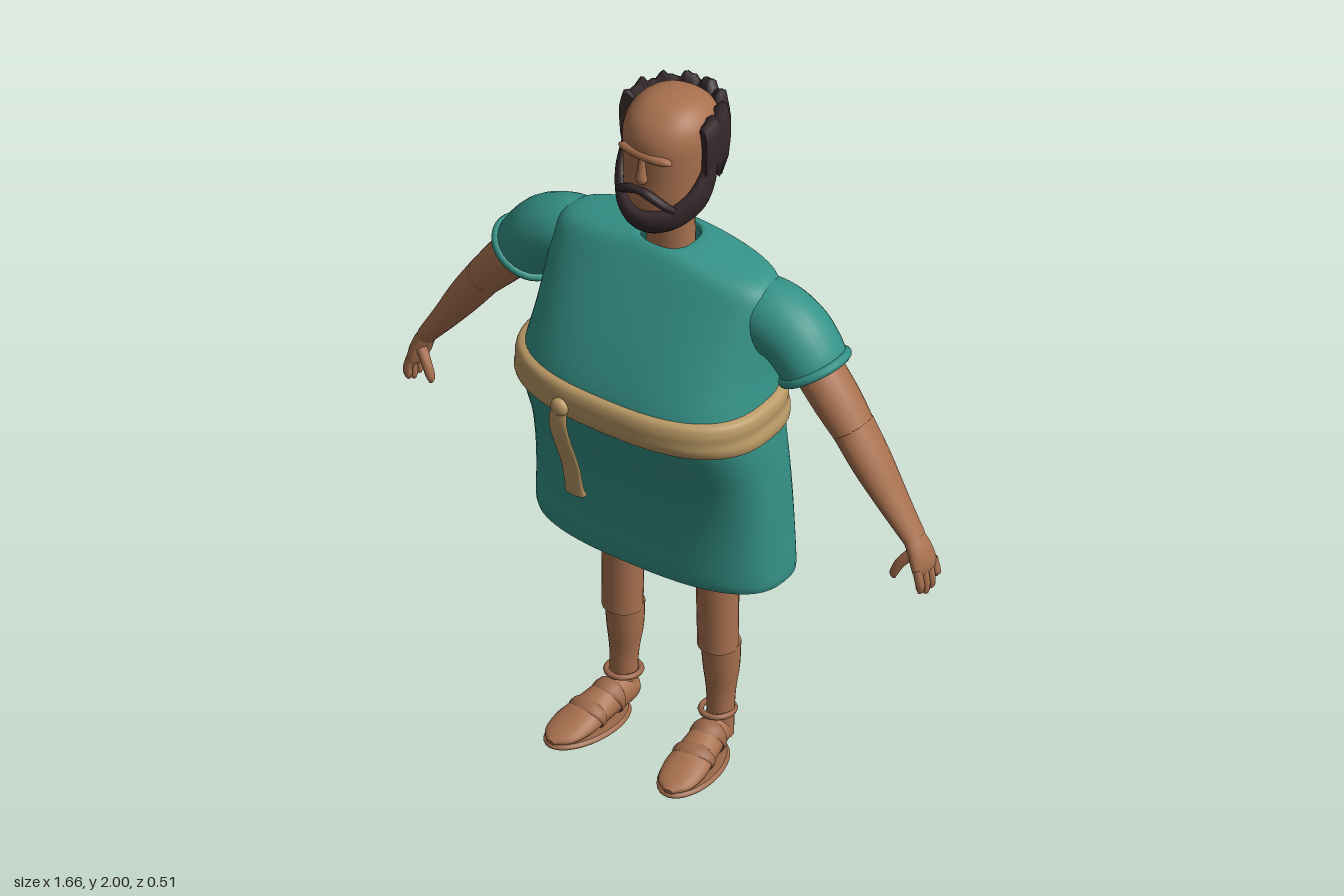
import * as THREE from 'three';

const V = (x, y, z) => new THREE.Vector3(x, y, z);
const material = (name, color, side = THREE.FrontSide) => {
  const m = new THREE.MeshStandardMaterial({ color, side });
  m.name = name;
  return m;
};

// Surface through a list of equal-length closed rings, with optional end caps
function skin(rings, capStart = true, capEnd = true) {
  const n = rings[0].length, pos = [], idx = [];
  rings.forEach(r => r.forEach(p => pos.push(p.x, p.y, p.z)));
  for (let i = 0; i < rings.length - 1; i++) {
    for (let j = 0; j < n; j++) {
      const a = i * n + j, b = i * n + (j + 1) % n;
      idx.push(a, a + n, b, b, a + n, b + n);
    }
  }
  const cap = (ring, flip) => {
    const c = pos.length / 3, mid = V(0, 0, 0);
    ring.forEach(p => mid.addScaledVector(p, 1 / n));
    [mid, ...ring].forEach(p => pos.push(p.x, p.y, p.z));
    for (let j = 0; j < n; j++) {
      const a = c + 1 + j, b = c + 1 + (j + 1) % n;
      if (flip) idx.push(c, b, a); else idx.push(c, a, b);
    }
  };
  if (capStart) cap(rings[0], false);
  if (capEnd) cap(rings[rings.length - 1], true);
  const g = new THREE.BufferGeometry();
  g.setAttribute('position', new THREE.Float32BufferAttribute(pos, 3));
  g.setIndex(idx);
  g.computeVertexNormals();
  return g;
}

const smooth = pts => new THREE.CatmullRomCurve3(pts, false, 'catmullrom', 0.5);

// Tube along points [x, y, z, r1, r2]; r2 lies along the hint direction
function limb(pts, { hint = V(0, 0, 1), n = 20, start = true, end = true } = {}) {
  const path = smooth(pts.map(p => V(p[0], p[1], p[2])));
  const radii = smooth(pts.map(p => V(p[3], p[4] ?? p[3], 0)));
  const steps = (pts.length - 1) * 5, rings = [];
  for (let i = 0; i <= steps; i++) {
    const c = path.getPoint(i / steps), r = radii.getPoint(i / steps), t = path.getTangent(i / steps);
    const w = hint.clone().addScaledVector(t, -hint.dot(t)).normalize(), u = t.clone().cross(w);
    rings.push(Array.from({ length: n }, (_, j) => {
      const a = j / n * Math.PI * 2;
      return c.clone().addScaledVector(u, Math.cos(a) * r.x).addScaledVector(w, Math.sin(a) * r.y);
    }));
  }
  return skin(rings, start, end);
}

// Upright form from rows [y, half width, front z, back z], superellipse plan
function upright(rows, power, start, end, n = 56) {
  const a = smooth(rows.map(r => V(r[0], r[1], 0))), b = smooth(rows.map(r => V(r[2], r[3], 0)));
  const steps = (rows.length - 1) * 4, rings = [];
  const pw = v => Math.sign(v) * Math.abs(v) ** (2 / power);
  for (let i = 0; i <= steps; i++) {
    const p = a.getPoint(i / steps), q = b.getPoint(i / steps);
    rings.push(Array.from({ length: n }, (_, j) => {
      const t = j / n * Math.PI * 2;
      return V(pw(Math.cos(t)) * p.y, p.x, (q.x + q.y) / 2 + pw(Math.sin(t)) * (q.x - q.y) / 2);
    }));
  }
  return skin(rings, start, end);
}

export function createModel() {
  const model = new THREE.Group();
  const skinTone = material('skin', 0xa9714f), cloth = material('teal cloth', 0x359388, THREE.DoubleSide);
  const sash = material('tan sash', 0xbb9a66), hair = material('dark hair', 0x35282b);
  const leather = material('sandal leather', 0x9c6849);
  const add = (name, geo, mat, parent = model) => {
    const m = new THREE.Mesh(geo, mat);
    m.name = name;
    parent.add(m);
    return m;
  };
  const ball = (name, mat, p, s, parent) => {
    const m = add(name, new THREE.SphereGeometry(1, 20, 14), mat, parent);
    m.position.set(...p);
    m.scale.set(...s);
    return m;
  };

  // Tunic body, open at hem and neck
  add('tunic', upright([
    [0.62, 0.374, 0.105, -0.236], [0.65, 0.377, 0.112, -0.236], [0.75, 0.374, 0.115, -0.233],
    [0.85, 0.371, 0.125, -0.23], [0.95, 0.368, 0.15, -0.228], [1.05, 0.365, 0.195, -0.228],
    [1.12, 0.36, 0.225, -0.23], [1.2, 0.35, 0.222, -0.226], [1.3, 0.337, 0.175, -0.212],
    [1.4, 0.335, 0.115, -0.203], [1.47, 0.335, 0.07, -0.2], [1.515, 0.325, 0.04, -0.197],
    [1.54, 0.28, 0.022, -0.19], [1.557, 0.18, 0.008, -0.18], [1.568, 0.085, -0.008, -0.16],
    [1.555, 0.072, -0.015, -0.152]], 2.6, false, false), cloth);

  // Belt with soft rolled edges
  add('belt', upright([
    [1.1, 0.355, 0.205, -0.222], [1.107, 0.374, 0.228, -0.238], [1.13, 0.378, 0.241, -0.242],
    [1.155, 0.372, 0.243, -0.24], [1.18, 0.373, 0.242, -0.241], [1.203, 0.366, 0.232, -0.237],
    [1.212, 0.34, 0.205, -0.22]], 2.6, false, false), sash);
  ball('beltKnot', sash, [-0.12, 1.145, 0.242], [0.026, 0.026, 0.018]);
  add('beltTail', limb([
    [-0.12, 1.15, 0.24, 0.022, 0.01], [-0.127, 1.09, 0.24, 0.028, 0.01], [-0.13, 1.02, 0.218, 0.029, 0.01],
    [-0.135, 0.92, 0.175, 0.029, 0.01], [-0.139, 0.84, 0.152, 0.029, 0.011],
    [-0.14, 0.81, 0.143, 0.033, 0.013]]), sash);

  // Neck and head
  add('neck', limb([[0, 1.5, -0.085, 0.07, 0.057], [0, 1.6, -0.085, 0.066, 0.056], [0, 1.75, -0.085, 0.066, 0.058]]), skinTone);
  add('head', upright([
    [1.65, 0.035, 0.035, -0.05], [1.69, 0.085, 0.045, -0.13], [1.74, 0.108, 0.046, -0.17],
    [1.8, 0.117, 0.044, -0.2], [1.86, 0.121, 0.045, -0.215], [1.91, 0.12, 0.042, -0.217],
    [1.95, 0.108, 0.023, -0.205], [1.98, 0.08, -0.01, -0.172], [1.995, 0.045, -0.045, -0.13],
    [2, 0.004, -0.083, -0.091]], 2.15, true, true, 40), skinTone);
  ball('brow', skinTone, [0, 1.875, 0.03], [0.085, 0.017, 0.022]);
  add('nose', limb([[0, 1.87, 0.04, 0.01], [0, 1.83, 0.045, 0.013], [0, 1.805, 0.046, 0.017, 0.015], [0, 1.793, 0.04, 0.008]]), skinTone);

  // Horseshoe of hair around the bald crown, uneven along its edges
  const rings = [];
  for (let i = 0; i <= 48; i++) {
    const th = (i / 24 - 1) * 1.83, k = Math.min(1, Math.abs(th) / 1.5);
    const top = 1.957 + 0.01 * Math.sin(th * 13) + 0.006 * Math.cos(th * 29);
    const low = 1.7 + 0.09 * k ** 1.5 + 0.008 * Math.sin(th * 17);
    const at = (f, y) => V(Math.sin(th) * 0.145 * f, y, -0.09 - Math.cos(th) * 0.162 * f);
    const mix = t => low + (top - low) * t;
    rings.push([at(0.72, top - 0.01), at(0.84, top + 0.008), at(0.95, top), at(1, mix(0.8)), at(1, mix(0.55)),
      at(0.93 + 0.05 * k, mix(0.28)), at(0.68 + 0.25 * k, low), at(0.5 + 0.3 * k, low + 0.01), at(0.72, mix(0.5))]);
  }
  add('hair', skin(rings), hair);

  // Beard along the jaw, moustache above the mouth
  const jaw = [[0.126, 1.85, -0.085, 0.014, 0.018], [0.124, 1.79, -0.068, 0.02, 0.032], [0.112, 1.735, -0.035, 0.023, 0.04],
    [0.078, 1.695, 0.007, 0.025, 0.04], [0.038, 1.678, 0.034, 0.026, 0.042]];
  const mirrored = (half, middle) => [...half, middle, ...half.slice().reverse().map(([x, ...r]) => [-x, ...r])];
  add('beard', limb(mirrored(jaw, [0, 1.672, 0.042, 0.026, 0.043]), { hint: V(0, 1, 0.7) }), hair);
  add('moustache', limb(mirrored([[0.09, 1.728, 0.026, 0.008], [0.065, 1.75, 0.046, 0.012], [0.03, 1.772, 0.058, 0.013]],
    [0, 1.778, 0.06, 0.011]), { hint: V(0, 0, 1), n: 12 }), hair);

  for (const s of [1, -1]) {
    const side = s > 0 ? 'left' : 'right';
    const flip = pts => pts.map(([x, ...r]) => [s * x, ...r]);
    const part = (name, pts, mat, opt) => add(side + name, limb(flip(pts), opt), mat);

    // Sleeve and rolled cuff
    part('Sleeve', [[0.22, 1.44, -0.09, 0.08, 0.08], [0.31, 1.43, -0.09, 0.098, 0.1], [0.385, 1.405, -0.088, 0.098, 0.1],
      [0.43, 1.365, -0.086, 0.094, 0.098], [0.456, 1.326, -0.085, 0.09, 0.095]], cloth, { end: false, n: 28 });
    const cuff = add(side + 'Cuff', new THREE.TorusGeometry(0.091, 0.013, 10, 32), cloth);
    cuff.position.set(s * 0.457, 1.324, -0.085);
    cuff.quaternion.setFromUnitVectors(V(0, 0, 1), V(s * 0.53, -0.85, 0).normalize());

    // Arm
    part('UpperArm', [[0.38, 1.41, -0.085, 0.06], [0.46, 1.33, -0.085, 0.062, 0.068], [0.53, 1.25, -0.083, 0.06, 0.068],
      [0.6, 1.165, -0.08, 0.05, 0.06]], skinTone);
    part('Forearm', [[0.582, 1.19, -0.08, 0.052, 0.064], [0.645, 1.1, -0.08, 0.047, 0.06], [0.71, 1.005, -0.082, 0.036, 0.048],
      [0.775, 0.915, -0.084, 0.025, 0.036]], skinTone);

    // Hand
    part('Palm', [[0.768, 0.925, -0.084, 0.023, 0.033], [0.79, 0.885, -0.085, 0.024, 0.042], [0.803, 0.845, -0.086, 0.022, 0.047],
      [0.808, 0.82, -0.087, 0.012, 0.042]], skinTone);
    for (let f = 0; f < 4; f++) {
      const z = -0.051 - f * 0.024, tip = [0.775, 0.762, 0.766, 0.79][f];
      part('Finger', [[0.806, 0.845, z, 0.012], [0.815, 0.81, z, 0.0125], [0.815, tip + 0.012, z - 0.002, 0.011],
        [0.812, tip, z - 0.002, 0.005]], skinTone, { n: 10 });
    }
    part('Thumb', [[0.785, 0.885, -0.065, 0.016], [0.755, 0.85, -0.05, 0.014], [0.738, 0.815, -0.045, 0.012],
      [0.737, 0.798, -0.045, 0.005]], skinTone, { n: 10 });

    // Leg
    part('Thigh', [[0.15, 0.85, -0.08, 0.058, 0.055], [0.15, 0.6, -0.08, 0.058, 0.055], [0.152, 0.32, -0.08, 0.055, 0.052]], skinTone);
    part('Shin', [[0.153, 0.328, -0.092, 0.054, 0.05], [0.153, 0.25, -0.093, 0.05, 0.046], [0.154, 0.16, -0.09, 0.039, 0.036],
      [0.154, 0.04, -0.085, 0.038, 0.034]], skinTone);

    // Foot and sandal, toes turned slightly outward
    const foot = new THREE.Group();
    foot.name = side + 'Foot';
    foot.position.set(s * 0.15, 0, -0.08);
    foot.rotation.y = s * 0.14;
    model.add(foot);
    const down = V(0, -1, 0);
    add('footBody', limb([[0, 0.07, -0.04, 0.02, 0.025], [0, 0.06, -0.015, 0.038, 0.046], [0, 0.056, 0.05, 0.046, 0.048],
      [0, 0.047, 0.11, 0.053, 0.041], [0, 0.036, 0.18, 0.06, 0.03], [0, 0.026, 0.24, 0.047, 0.017],
      [0, 0.021, 0.272, 0.012, 0.007]], { hint: down }), skinTone, foot);
    add('sole', limb([[0, 0, 0.133, 0.066, 0.134], [0, 0.006, 0.133, 0.075, 0.143], [0, 0.012, 0.133, 0.075, 0.143],
      [0, 0.018, 0.133, 0.068, 0.136]], { n: 32 }), leather, foot);
    for (const [z, y, rx, ry] of [[0.05, 0.056, 0.051, 0.052], [0.13, 0.044, 0.06, 0.041]]) {
      add('strap', limb([[0, y, z - 0.012, rx - 0.006, ry - 0.004], [0, y, z - 0.007, rx, ry], [0, y, z + 0.007, rx, ry],
        [0, y - 0.002, z + 0.012, rx - 0.006, ry - 0.004]], { hint: down }), leather, foot);
    }
    const ring = add('ankleStrap', new THREE.TorusGeometry(0.043, 0.008, 8, 28), leather, foot);
    ring.rotation.x = Math.PI / 2 - 0.06;
    ring.position.set(0, 0.115, -0.002);
    ring.scale.y = 1.1;
  }
  return model;
}
